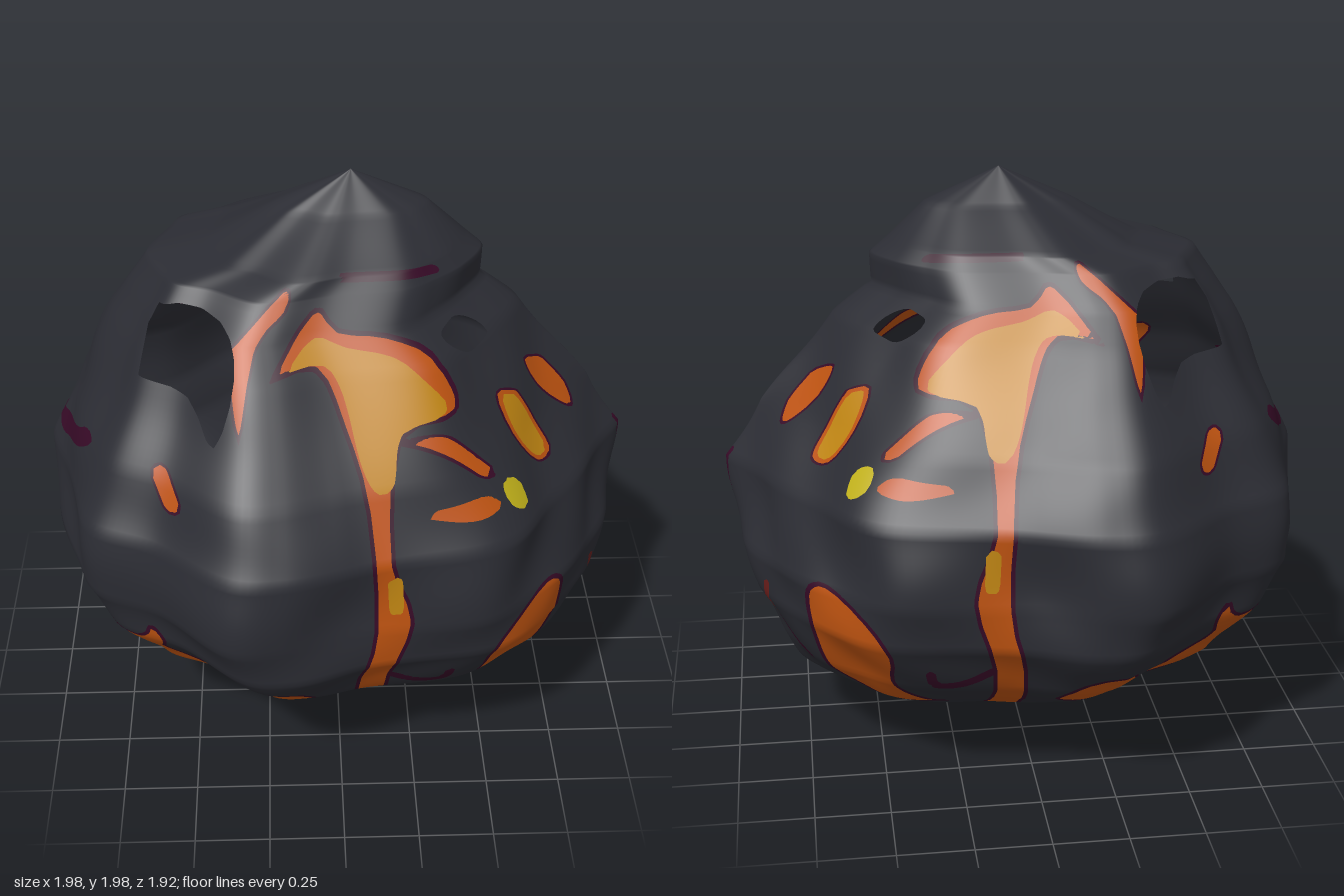
import * as THREE from 'three';

const mat = (name, color) => new THREE.MeshStandardMaterial({ name, color, side: THREE.DoubleSide });
const rock = mat('rock', 0x2b2c33);
const rim = mat('scorched rim', 0x360a26);
const lava = mat('lava', 0xbc5210);
const gold = mat('hot lava', 0xbe8412);
const yellow = mat('molten yellow', 0xc0b01a);
const red = mat('ember red', 0x6c1f1c);

// Horizontal slices: height, back x, face x, half width, how much the face narrows
const ROWS = [
  [0, 0.02, 0.15, 0, 0], [0.02, -0.12, 0.28, 0.08, 0], [0.1, -0.32, 0.52, 0.25, 0], [0.2, -0.48, 0.67, 0.44, -0.1],
  [0.3, -0.61, 0.79, 0.62, -0.2], [0.4, -0.74, 0.84, 0.76, -0.3], [0.6, -0.9, 0.93, 0.92, -0.3],
  [0.75, -0.99, 0.97, 0.94, -0.2], [1, -0.98, 1, 0.93, 0.5], [1.2, -0.9, 0.88, 0.81, 0.9],
  [1.5, -0.75, 0.62, 0.56, 0.2], [1.6, -0.69, 0.48, 0.47, 0.1], [1.7, -0.62, 0.49, 0.38, 0],
  [1.75, -0.42, 0.43, 0.33, 0], [1.87, -0.2, 0.3, 0.13, 0], [1.98, 0.05, 0.05, 0, 0],
];
// Plan outline from the face round to the back
const PLAN = [
  [1, 0], [0.87, 0.38], [0.7, 0.62], [0.5, 0.83], [0.05, 0.91], [-0.2, 1],
  [-0.35, 1], [-0.62, 0.77], [-0.82, 0.65], [-0.89, 0.45], [-1, 0],
];

// Bands of colour from the edge inwards: [distance, material]
const PLAIN = [[0, rim], [0.013, lava]];
const GLOW = [[0, rim], [0.008, lava]];
const HOT_GLOW = [[0, rim], [0.007, lava], [0.02, gold]];
const SCORCH = [[0, rim]];

// Boulder surface as triangles of shared [x, y, z] corners
function boulder() {
  const half = PLAN.slice(1, -1).reverse().map(([x, z]) => new THREE.Vector3(x, 0, -z));
  const ring = PLAN.map(([x, z]) => new THREE.Vector3(x, 0, z)).concat(half);
  const N = 250, outline = new THREE.CatmullRomCurve3(ring, true).getSpacedPoints(N);
  const slices = [];
  ROWS.slice(1).forEach((b, i) => {
    const a = ROWS[i], size = Math.max(...b.slice(0, 4).map((v, k) => Math.abs(v - a[k])));
    const n = Math.ceil(size / 0.024);
    for (let j = 0; j < n; j++) slices.push(a.map((v, k) => v + (b[k] - v) * j / n));
  });
  slices.push(ROWS[ROWS.length - 1]);
  const pos = [], index = [];
  for (const [y, x0, x1, w, narrow] of slices) {
    for (let i = 0; i < N; i++) {
      const p = outline[i], s = w * Math.abs(p.z) ** (1 + narrow * Math.max(0, p.x));
      const x = (x0 + x1) / 2 + p.x * (x1 - x0) / 2;
      // Lumpy stone
      const k = 0.995 + 0.012 * Math.sin(7 * x + 9 * y) * Math.cos(8 * s - 5 * y) + 0.008 * Math.sin(15 * y + 13 * s - 6 * x);
      pos.push(x * k, y, Math.sign(p.z) * s * k);
    }
  }
  for (let j = 0; j < slices.length - 1; j++) {
    for (let i = 0; i < N; i++) {
      const a = j * N + i, b = j * N + (i + 1) % N;
      if (j < slices.length - 2) index.push(a + N, b + N, b);
      if (j > 0) index.push(a, a + N, b);
      else index.push(a, a + N, b + N);
    }
  }
  const g = new THREE.BufferGeometry();
  g.setAttribute('position', new THREE.Float32BufferAttribute(pos, 3));
  g.setIndex(index);
  g.computeVertexNormals();
  // Corners carry position then normal
  const n = g.attributes.normal.array;
  const verts = Array.from({ length: pos.length / 3 }, (_, i) => [...pos.slice(i * 3, i * 3 + 3), ...n.slice(i * 3, i * 3 + 3)]);
  const tris = [];
  for (let i = 0; i < index.length; i += 3) tris.push([verts[index[i]], verts[index[i + 1]], verts[index[i + 2]]]);
  return tris;
}

// Signed distance inside a closed outline, or inside a stroke when a half width is given.
// 'side' points are x,y on both flanks; 'face' points are |z|,y on the front of the head.
function makeField(on, pts, width) {
  const list = (width ? pts : [...pts, pts[0]]).map(p => new THREE.Vector2(...p));
  const path = new THREE.SplineCurve(list).getPoints((list.length - 1) * 3);
  const box = new THREE.Box2().setFromPoints(path).expandByScalar(0.08);
  return v => {
    if (on === 'face' && v[0] < 0) return -1;
    const u = on === 'face' ? Math.abs(v[2]) : v[0], y = v[1];
    if (u < box.min.x || u > box.max.x || y < box.min.y || y > box.max.y) return -1;
    let best = 1, inside = false;
    for (let i = 1; i < path.length; i++) {
      const a = path[i - 1], b = path[i], dx = b.x - a.x, dy = b.y - a.y;
      const t = Math.min(1, Math.max(0, ((u - a.x) * dx + (y - a.y) * dy) / (dx * dx + dy * dy || 1)));
      best = Math.min(best, Math.hypot(u - a.x - dx * t, y - a.y - dy * t));
      if ((a.y > y) !== (b.y > y) && u < a.x + dx * (y - a.y) / dy) inside = !inside;
    }
    if (width) return width - best;
    return inside ? best : -best;
  };
}

// Cut triangles along the line where the field equals the level
function cut(tris, field, level) {
  const inside = [], outside = [], cache = new Map();
  const at = v => { if (!cache.has(v)) cache.set(v, field(v) - level); return cache.get(v); };
  for (const t of tris) {
    const d = t.map(at);
    if (d.every(v => v >= 0)) { inside.push(t); continue; }
    if (d.every(v => v < 0)) { outside.push(t); continue; }
    const polys = [[], []];
    t.forEach((a, i) => {
      const b = t[(i + 1) % 3], da = d[i], db = d[(i + 1) % 3];
      polys[da >= 0 ? 0 : 1].push(a);
      if ((da >= 0) !== (db >= 0)) {
        const m = a.map((v, k) => v + (b[k] - v) * da / (da - db));
        polys[0].push(m);
        polys[1].push(m);
      }
    });
    [inside, outside].forEach((out, s) => {
      for (let i = 2; i < polys[s].length; i++) out.push([polys[s][0], polys[s][i - 1], polys[s][i]]);
    });
  }
  return [inside, outside];
}

function makeMesh(name, tris, material) {
  const corners = tris.flat();
  const g = new THREE.BufferGeometry();
  g.setAttribute('position', new THREE.Float32BufferAttribute(corners.flatMap(v => v.slice(0, 3)), 3));
  g.setAttribute('normal', new THREE.Float32BufferAttribute(corners.flatMap(v => v.slice(3)), 3));
  const mesh = new THREE.Mesh(g, material);
  mesh.name = name;
  return mesh;
}

export function createModel() {
  const model = new THREE.Group();
  model.name = 'lavaBoulderHead';
  let stone = boulder();

  // Take an area out of the stone and fill it with its bands; no bands leaves an opening
  function carve(name, on, bands, pts, width) {
    const field = makeField(on, pts, width);
    let [rest, outside] = cut(stone, field, 0);
    stone = outside;
    bands.forEach(([, material], i) => {
      const next = bands[i + 1];
      const [deeper, band] = next ? cut(rest, field, next[0]) : [[], rest];
      if (band.length) model.add(makeMesh(name, band, material));
      rest = deeper;
    });
  }

  // Openings
  carve('crownOpening', 'side', [], [[-0.64, 1.45], [-0.57, 1.64], [-0.37, 1.64], [-0.33, 1.52], [-0.4, 1.33], [-0.48, 1.43]]);
  carve('eyeOpening', 'face', [], [[0.25, 1.53], [0.31, 1.52]], 0.04);
  carve('chinOpening', 'face', [], [[0.13, 0.2], [0.16, 0.18]], 0.05);

  // Lava pools and streams, hottest parts first
  carve('templeHeat', 'side', [[0, gold]], [
    [-0.17, 1.53], [-0.08, 1.6], [0.02, 1.57], [0.17, 1.54], [0.27, 1.47], [0.34, 1.38],
    [0.19, 1.345], [0.165, 1.22], [0.11, 1.2], [0.06, 1.28], [0.01, 1.45], [-0.05, 1.53]]);
  carve('streamHeat', 'side', [[0, gold]], [[0.165, 0.93], [0.17, 0.83]], 0.024);
  carve('templeLavaStream', 'side', PLAIN, [
    [-0.23, 1.51], [-0.08, 1.68], [0, 1.62], [0.15, 1.6], [0.3, 1.53], [0.38, 1.37], [0.19, 1.33],
    [0.165, 1], [0.23, 0.78], [0.16, 0.5], [0.13, 0.06], [0, 0.02], [-0.22, 0.07], [-0.37, 0.22],
    [-0.25, 0.19], [-0.1, 0.06], [0.01, 0.06], [0.05, 0.5], [0.1, 0.75], [0.075, 1.15], [0, 1.38], [-0.08, 1.52]]);
  carve('rearScorch', 'side', SCORCH, [[-0.6, 0.345], [-0.42, 0.315], [-0.24, 0.305]], 0.02);
  carve('rearLava', 'side', PLAIN, [
    [-0.82, 0.62], [-0.67, 0.6], [-0.63, 0.67], [-0.58, 0.6], [-0.57, 0.5], [-0.36, 0.37],
    [-0.32, 0.44], [-0.2, 0.49], [-0.05, 0.35], [-0.2, 0.31], [-0.6, 0.34], [-0.73, 0.45]]);
  carve('cheekLava', 'side', PLAIN, [
    [0.25, 0.25], [0.4, 0.34], [0.47, 0.42], [0.48, 0.56], [0.56, 0.69], [0.68, 0.77],
    [0.75, 0.72], [0.72, 0.5], [0.67, 0.38], [0.55, 0.3], [0.4, 0.27]]);
  carve('crownLava', 'side', GLOW, [[-0.36, 1.58], [-0.17, 1.74], [-0.16, 1.68], [-0.26, 1.59], [-0.32, 1.36]]);
  carve('rearEmber', 'side', GLOW, [[-0.57, 1.21], [-0.54, 1.15]], 0.035);

  // Glow between the teeth
  carve('innerToothGlow', 'face', GLOW, [[0.09, 1.33], [0.18, 1.37], [0.2, 1.27], [0.15, 1.15], [0.09, 1.22]]);
  carve('middleToothGlow', 'face', HOT_GLOW, [[0.29, 1.32], [0.36, 1.35], [0.42, 1.22], [0.4, 1.1], [0.32, 1.1], [0.29, 1.2]]);
  carve('outerToothGlow', 'face', [[0, yellow]], [[0.57, 1.12], [0.59, 1.09]], 0.034);
  carve('mouthCornerGlow', 'face', [[0, lava]], [[0.66, 1.12], [0.7, 1.11]], 0.025);
  carve('cheekGlow', 'face', GLOW, [[0.59, 1.31], [0.59, 1.2]], 0.027);

  // Scorched cracks
  carve('chinCrack', 'face', SCORCH, [[0, 0.7], [0.15, 0.61], [0.28, 0.46], [0.38, 0.41]], 0.016);
  carve('lipCrack', 'face', SCORCH, [[0, 0.7], [0.005, 1.02]], 0.012);
  carve('cheekEmber', 'face', [[0, red]], [[0.33, 0.66], [0.28, 0.53]], 0.014);
  carve('jawCrack', 'side', SCORCH, [[0.16, 0.5], [0.25, 0.44], [0.34, 0.43], [0.36, 0.49]], 0.016);
  carve('browCrack', 'face', SCORCH, [[0.22, 1.73], [0.3, 1.745]], 0.014);
  carve('rearCrack', 'side', SCORCH, [[-0.82, 1.2], [-0.94, 1.07]], 0.014);

  model.add(makeMesh('stoneShell', stone, rock));
  return model;
}
